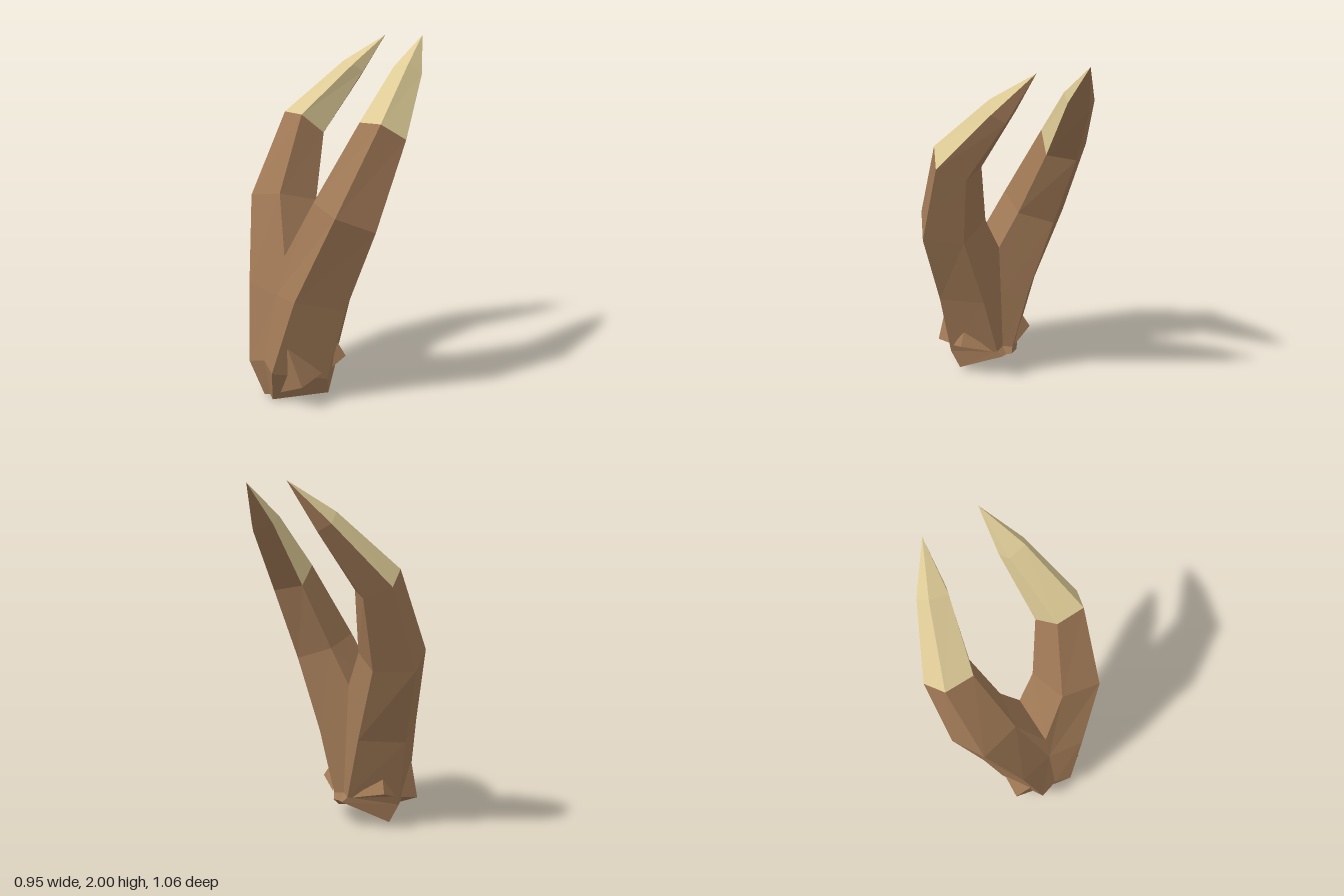
import * as THREE from 'three';

// Cross-sections of the left half, each listed front to back around the outside
const trunkRings = [
  [[0, 0.02, 0.47], [0.04, 0.005, 0.48], [0.21, 0.03, 0.215], [0.035, 0.17, -0.01], [0, 0.17, 0]],
  [[0, 0.235, 0.505], [0.11, 0.2, 0.53], [0.25, 0.14, 0.255], [0.055, 0.2, 0.015], [0, 0.21, 0.04]],
  [[0, 0.6, 0.41], [0.215, 0.62, 0.45], [0.34, 0.555, 0.2], [0.155, 0.57, -0.005], [0, 0.55, 0.06]],
];
const hornRings = [
  [[0.155, 1.13, 0.27], [0.385, 1.09, 0.31], [0.475, 1.0, 0.11], [0.3, 1.0, -0.045], [0.11, 1.07, 0.045]],
  [[0.255, 1.55, 0.035], [0.42, 1.555, 0.035], [0.477, 1.47, -0.095], [0.35, 1.41, -0.18], [0.207, 1.44, -0.09]],
  [[0.175, 1.83, -0.285], [0.275, 1.85, -0.3], [0.31, 1.79, -0.37], [0.25, 1.75, -0.41], [0.155, 1.79, -0.35]],
];
const tip = [0.155, 2, -0.527];
const crotchFront = [0, 0.81, 0.355];
const crotchBack = [0, 0.86, 0.08];

// Thorns: three base corners, then the apex
const thorns = {
  FrontThorn: [[0.17, 0.35, 0.465], [0.08, 0.055, 0.455], [0.24, 0.18, 0.28], [0.25, 0.14, 0.43]],
  RearThorn: [[0.25, 0.2, 0.22], [0.08, 0.2, 0.03], [0.205, 0.33, 0.155], [0.25, 0.24, 0.12]],
};

// Faceted mesh from polygons, optionally mirrored to the other side
function facets(name, polygons, material, mirror) {
  const pos = [];
  for (const poly of polygons) {
    const p = mirror ? poly.map(([x, y, z]) => [-x, y, z]).reverse() : poly;
    for (let i = 1; i < p.length - 1; i++) pos.push(...p[0], ...p[i], ...p[i + 1]);
  }
  const geo = new THREE.BufferGeometry();
  geo.setAttribute('position', new THREE.Float32BufferAttribute(pos, 3));
  geo.computeVertexNormals();
  const mesh = new THREE.Mesh(geo, material);
  mesh.name = name;
  return mesh;
}

const side = (lo, hi, j) => {
  const k = (j + 1) % 5;
  return [lo[j], lo[k], hi[k], hi[j]];
};

export function createModel() {
  const brown = new THREE.MeshStandardMaterial({ color: 0xa07956 });
  brown.name = 'hornBrown';
  const ivory = new THREE.MeshStandardMaterial({ color: 0xdecb96 });
  ivory.name = 'tipIvory';

  const [foot, base, waist] = trunkRings;
  const [fork, bend, point] = hornRings;

  // Trunk: underside, two bands and the fork between the horns
  const trunk = [
    [foot[0], foot[4], foot[3], foot[2], foot[1]],
    [waist[0], fork[0], crotchFront],
    [waist[4], crotchBack, fork[4]],
    [crotchFront, fork[0], fork[4], crotchBack],
  ];
  for (let j = 0; j < 4; j++) {
    trunk.push(side(foot, base, j), side(base, waist, j), side(waist, fork, j));
  }

  // Horn: shaft all round, then a tip that is ivory in front and brown behind
  const shaft = [], tipFront = [], tipBack = [];
  for (let j = 0; j < 5; j++) {
    shaft.push(side(fork, bend, j));
    const target = j === 2 || j === 3 ? tipBack : tipFront;
    target.push(side(bend, point, j), [point[j], point[(j + 1) % 5], tip]);
  }

  const model = new THREE.Group();
  model.name = 'forkedHorn';
  for (const mirror of [false, true]) {
    const half = new THREE.Group();
    const s = mirror ? 'right' : 'left';
    half.name = s + 'Half';
    half.add(
      facets(s + 'Trunk', trunk, brown, mirror),
      facets(s + 'HornShaft', shaft, brown, mirror),
      facets(s + 'TipFront', tipFront, ivory, mirror),
      facets(s + 'TipBack', tipBack, brown, mirror),
    );
    for (const [name, [a, b, c, apex]] of Object.entries(thorns)) {
      half.add(facets(s + name, [[a, b, apex], [b, c, apex], [c, a, apex]], brown, mirror));
    }
    model.add(half);
  }
  return model;
}
